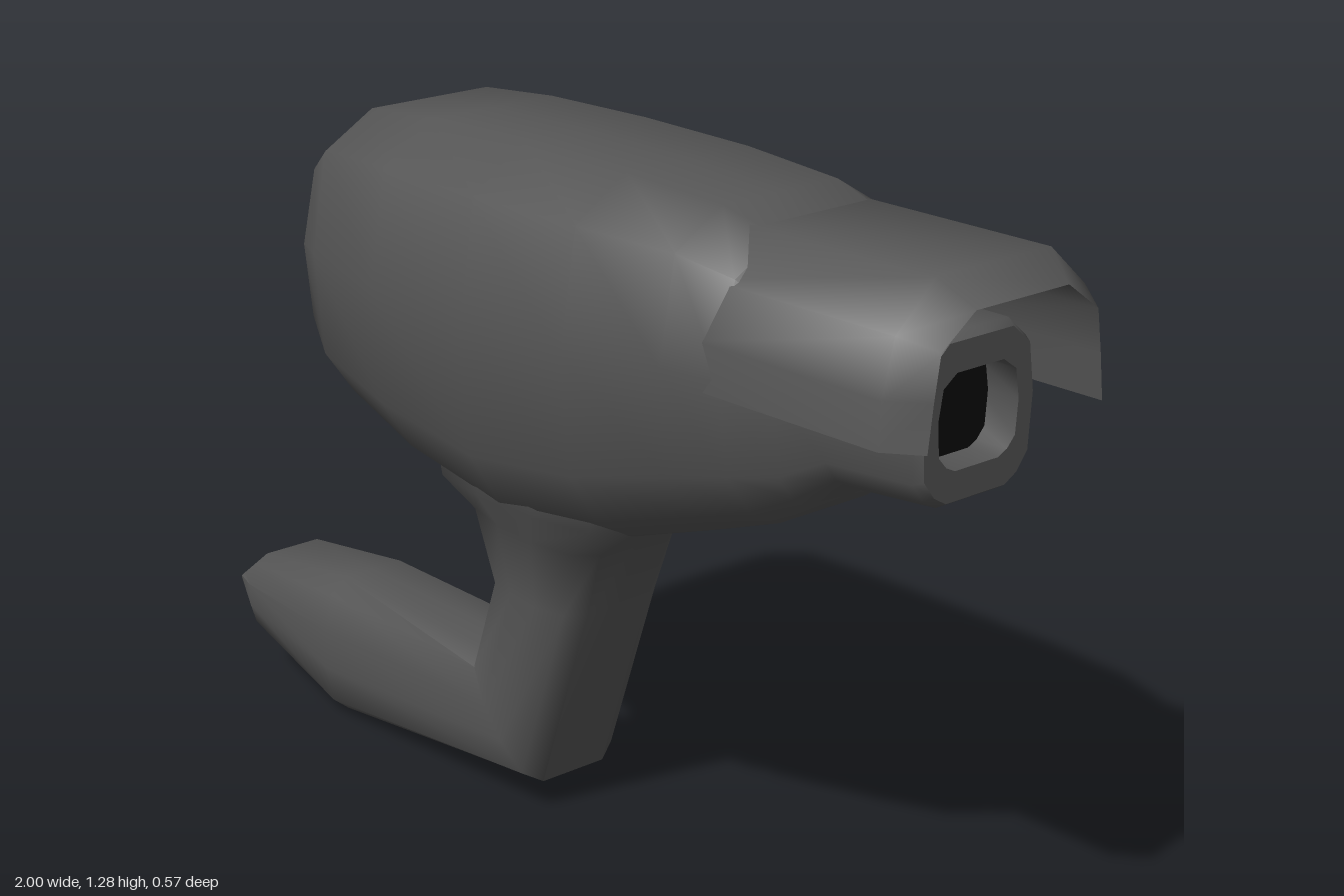
import * as THREE from 'three';
import { toCreasedNormals } from 'three/addons/utils/BufferGeometryUtils.js';

const V = (x, y, z) => new THREE.Vector3(x, y, z);

// Skin a list of closed rings; optional fan caps at both ends.
function loft(rings, capStart = true, capEnd = true, crease = 1.0) {
  const n = rings[0].length;
  const points = rings.flat();
  const index = [];
  for (let i = 0; i < rings.length - 1; i++) {
    for (let j = 0; j < n; j++) {
      const k = (j + 1) % n;
      const a = i * n + j, b = i * n + k, c = a + n, d = b + n;
      index.push(a, b, d, a, d, c);
    }
  }
  const cap = (r, flip) => {
    const centre = V(0, 0, 0);
    rings[r].forEach((p) => centre.addScaledVector(p, 1 / n));
    const c = points.push(centre) - 1;
    for (let j = 0; j < n; j++) {
      const a = r * n + j, b = r * n + ((j + 1) % n);
      index.push(c, flip ? b : a, flip ? a : b);
    }
  };
  if (capStart) cap(0, true);
  if (capEnd) cap(rings.length - 1, false);
  const geometry = new THREE.BufferGeometry().setFromPoints(points);
  geometry.setIndex(index);
  return toCreasedNormals(geometry, crease);
}

// Symmetric ring from an upper point to a lower point; profile holds [t, width].
function ring(profile, [ax, ay, bx, by, hw]) {
  const at = ([t, w], side) => V(ax + (bx - ax) * t, ay + (by - ay) * t, side * w * hw);
  const inner = profile.slice(1, -1);
  return [
    at(profile[0], 1), ...inner.map((p) => at(p, 1)),
    at(profile[profile.length - 1], 1), ...inner.reverse().map((p) => at(p, -1)),
  ];
}

// Upright ring at x
const upright = (profile, [x, top, bottom, hw]) => ring(profile, [x, top, x, bottom, hw]);

const BODY = [[0, 0], [0, 0.49], [0.11, 0.88], [0.44, 1], [0.78, 0.93], [0.93, 0.7], [1, 0.42], [1, 0]];
const LENS = [[0, 0], [0, 0.58], [0.13, 0.9], [0.45, 1], [0.82, 0.95], [0.94, 0.76], [1, 0.54], [1, 0]];
const ARM = [[0, 0], [0, 0.58], [0.1, 0.88], [0.36, 1], [0.64, 1], [0.9, 0.88], [1, 0.58], [1, 0]];

export function createModel() {
  const group = new THREE.Group();
  const shell = new THREE.MeshStandardMaterial({ color: 0x555555 });
  const dark = new THREE.MeshStandardMaterial({ color: 0x0a0a0a });
  const add = (name, geometry, material = shell) => {
    const mesh = new THREE.Mesh(geometry, material);
    mesh.name = name;
    group.add(mesh);
  };

  // Housing: x, top, bottom, half width; narrows at the front into the lens tube
  const housing = [
    [-0.535, 1.01, 0.99, 0.21], [-0.51, 1.2, 0.79, 0.235], [-0.43, 1.27, 0.71, 0.272],
    [-0.25, 1.283, 0.645, 0.283], [0, 1.287, 0.6, 0.285], [0.26, 1.283, 0.64, 0.283],
    [0.48, 1.27, 0.715, 0.265], [0.595, 1.24, 0.755, 0.24],
  ].map((s) => upright(BODY, s));
  const tube = [
    [0.65, 1.17, 0.795, 0.17], [0.72, 1.14, 0.845, 0.135], [0.905, 1.14, 0.86, 0.133],
    [0.922, 1.13, 0.87, 0.125], [0.922, 1.08, 0.92, 0.092], [0.84, 1.08, 0.92, 0.09],
  ].map((s) => upright(LENS, s));
  add('housing', loft([...housing, ...tube], true, false));

  // Dark glass lining the lens opening
  add('lensGlass', loft([
    upright(LENS, [0.83, 1.08, 0.92, 0.09]), upright(LENS, [0.86, 1.08, 0.92, 0.09]),
  ]), dark);

  // Sun hood: an arch of wall sections, outer surface paired with the inner rim
  const half = [
    { o: [0.245, 1.0], r: [0.2, 1.0] },
    { o: [0.24, 1.08], r: [0.19, 1.08] },
    { o: [0.215, 1.175], r: [0.178, 1.155] },
    { o: [0.13, 1.25], r: [0.105, 1.207] },
  ];
  const wall = ({ o, r }, side) => [
    V(0.54, o[1], side * o[0]), V(0.94, o[1], side * o[0]),
    V(1, r[1], side * r[0]), V(0.6, r[1], side * r[0]),
  ];
  add('sunHood', loft([
    ...half.map((p) => wall(p, 1)),
    ...[...half].reverse().map((p) => wall(p, -1)),
  ]));

  // Bracket: tapered mounting arm, elbow, then a neck flaring into the housing
  add('mountingArm', loft([
    [-1, 0.187, -1, 0.172, 0.065], [-0.91, 0.255, -0.91, 0.1, 0.108],
    [-0.64, 0.285, -0.64, 0.005, 0.118], [-0.205, 0.272, -0.035, 0.06, 0.125],
    [-0.147, 0.44, 0.09, 0.43, 0.126], [-0.19, 0.58, 0.135, 0.56, 0.145],
    [-0.24, 0.645, 0.26, 0.645, 0.2], [-0.25, 0.72, 0.28, 0.72, 0.21],
  ].map((s) => ring(ARM, s))));

  return group;
}
